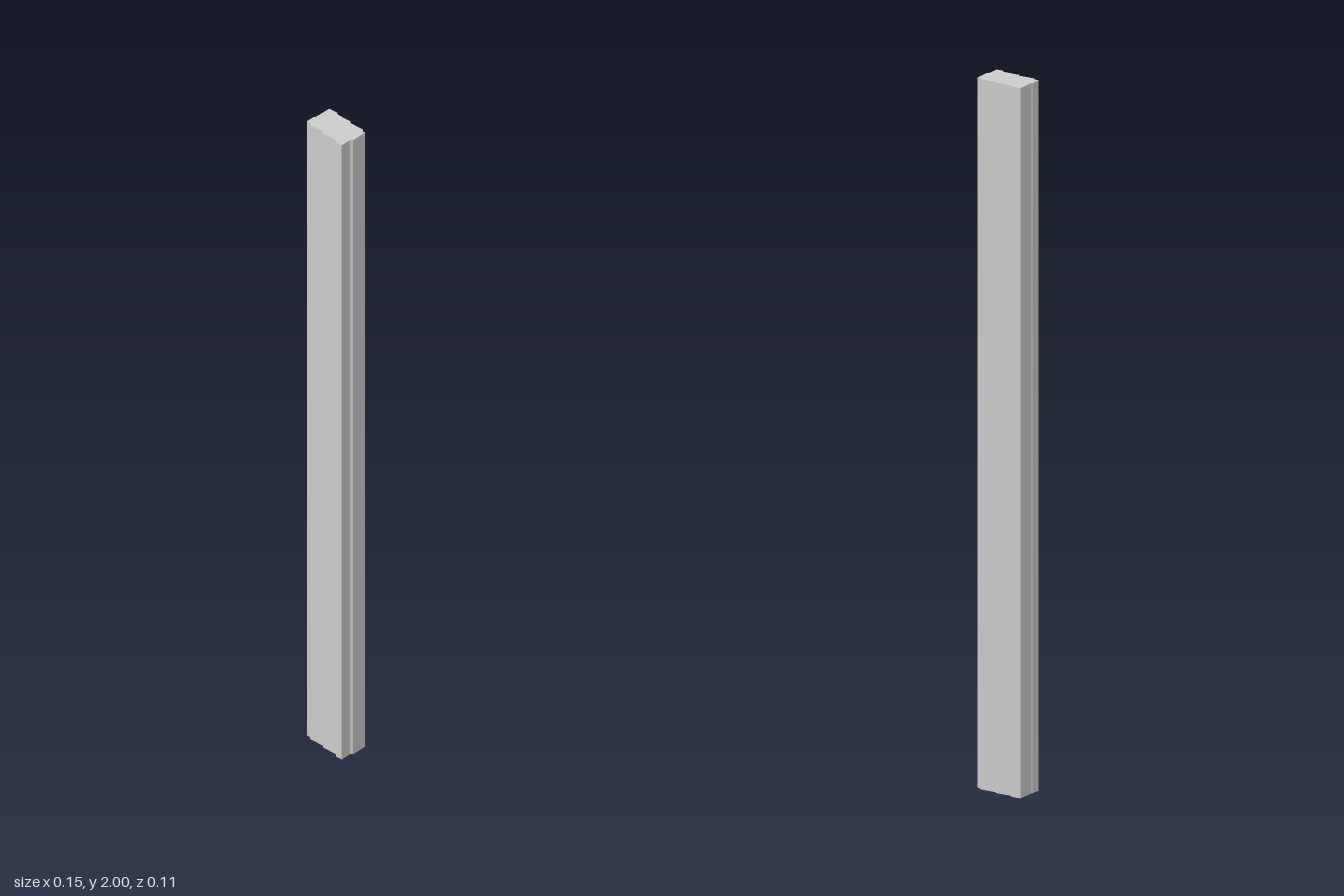
import * as THREE from 'three';

export function createModel() {
  const group = new THREE.Group();
  group.name = 'post';

  // Stepped cross-section as (x, z) corners, with small chamfers at each step
  const section = [
    // back face
    [-0.072, -0.053], [-0.044, -0.053], [-0.037, -0.047], [0.010, -0.047],
    [0.015, -0.041], [0.062, -0.041], [0.068, -0.034],
    // left side
    [0.076, -0.034], [0.076, 0.014], [0.070, 0.019],
    // front face
    [0.070, 0.053], [0.049, 0.053], [0.043, 0.045], [-0.006, 0.045],
    [-0.011, 0.039], [-0.058, 0.039], [-0.064, 0.032],
    // right side
    [-0.076, 0.032], [-0.076, 0.005], [-0.072, -0.001],
  ];
  const shape = new THREE.Shape(section.map(([x, z]) => new THREE.Vector2(x, -z)));

  // Extrude along the height and stand upright
  const geometry = new THREE.ExtrudeGeometry(shape, { depth: 2, bevelEnabled: false });
  geometry.rotateX(-Math.PI / 2);

  const shaft = new THREE.Mesh(
    geometry,
    new THREE.MeshStandardMaterial({ color: 0xcccccc, flatShading: true })
  );
  shaft.name = 'steppedShaft';
  group.add(shaft);
  return group;
}
